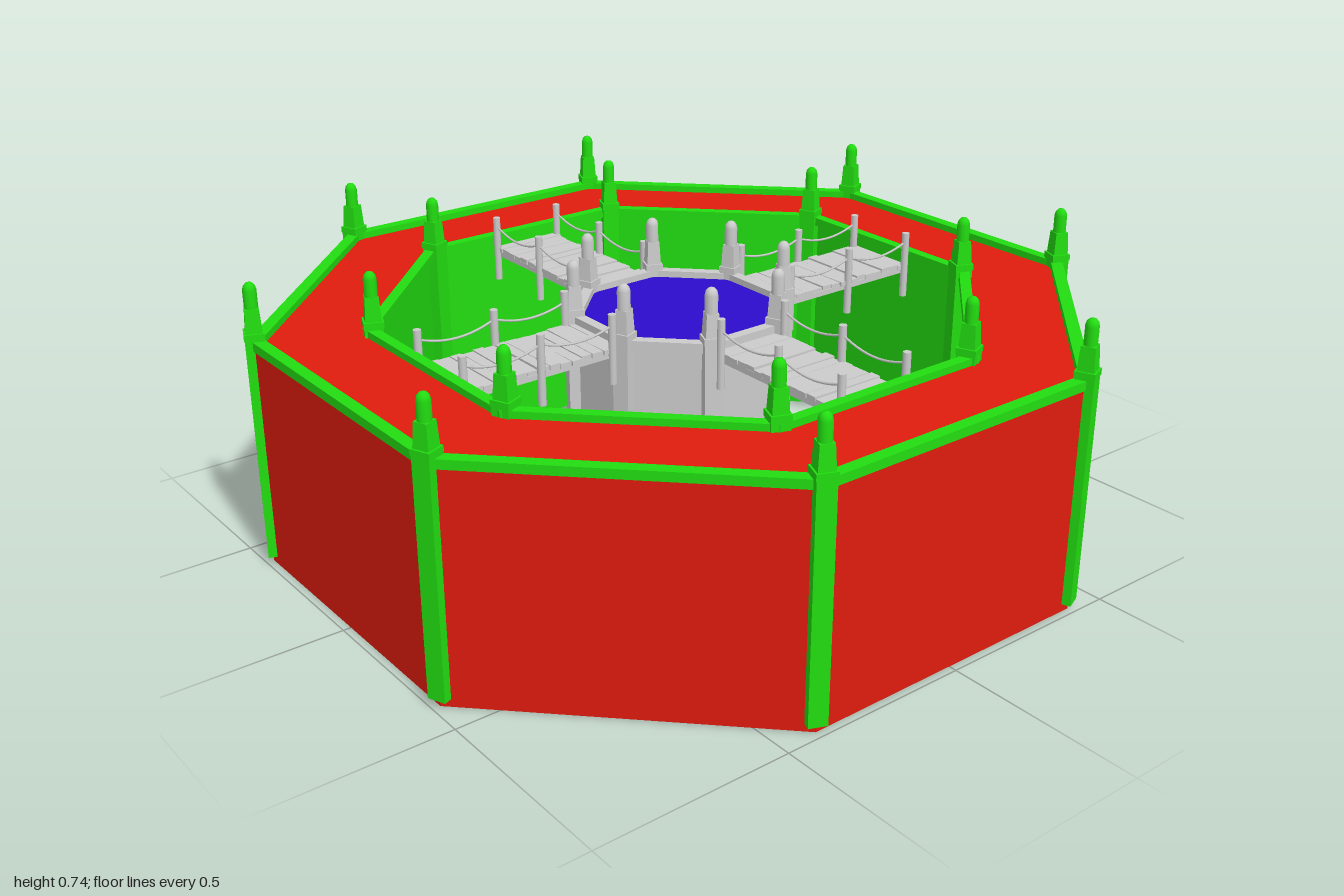
import * as THREE from 'three';

const material = (color, flat = true) =>
  new THREE.MeshStandardMaterial({ color, flatShading: flat, side: THREE.DoubleSide });
const RED = material(0xe01b0e), GREEN = material(0x22dd11), BLUE = material(0x2d0ccc), GREY = material(0xcccccc);
const GREEN_ROUND = material(0x22dd11, false), GREY_ROUND = material(0xcccccc, false);

const C = Math.cos(Math.PI / 8); // apothem of an octagon with radius 1

function add(parent, name, geometry, mat, x = 0, y = 0, z = 0) {
  const mesh = new THREE.Mesh(geometry, mat);
  mesh.name = name;
  mesh.position.set(x, y, z);
  parent.add(mesh);
  return mesh;
}

// Eight-sided surface from [apothem, height] pairs
function octagon(parent, name, profile, mat) {
  const points = profile.map(([a, y]) => new THREE.Vector2(a / C, y));
  return add(parent, name, new THREE.LatheGeometry(points, 8, Math.PI / 8), mat);
}

// Raised rim with a rectangular section
const rim = (parent, name, inner, outer, y0, y1, mat) =>
  octagon(parent, name, [[inner, y0], [outer, y0], [outer, y1], [inner, y1], [inner, y0]], mat);

// Square corner post with a stepped, round-topped finial
function cornerPost(top, width, mat, roundMat) {
  const post = new THREE.Group();
  post.name = 'cornerPost';
  const box = (name, w, y0, y1) =>
    add(post, name, new THREE.BoxGeometry(w, y1 - y0, w), mat, 0, (y0 + y1) / 2, 0);
  box('shaft', width, 0.02, top);
  box('finialBase', width * 1.08, top, top + 0.016);
  const neck = new THREE.CylinderGeometry(width * 0.52, width * 0.62, 0.06, 4, 1);
  neck.rotateY(Math.PI / 4);
  add(post, 'finialNeck', neck, mat, 0, top + 0.046, 0);
  const dome = [[0.0165, 0], [0.0165, 0.045], [0.014, 0.055], [0.008, 0.062], [0, 0.064]]
    .map(([r, y]) => new THREE.Vector2(r, y));
  add(post, 'finialTip', new THREE.LatheGeometry(dome, 12), roundMat, 0, top + 0.076, 0);
  return post;
}

function ringOfPosts(parent, name, radius, top, width, mat, roundMat) {
  const group = new THREE.Group();
  group.name = name;
  for (let i = 0; i < 8; i++) {
    const angle = Math.PI / 8 + i * Math.PI / 4;
    const post = cornerPost(top, width, mat, roundMat);
    post.position.set(Math.sin(angle) * radius, 0, Math.cos(angle) * radius);
    post.rotation.y = angle;
    group.add(post);
  }
  parent.add(group);
}

// Rope hanging between two points
function rope(parent, name, from, to, sag, radius) {
  const middle = from.clone().add(to).multiplyScalar(0.5);
  middle.y -= sag * 2;
  const curve = new THREE.QuadraticBezierCurve3(from, middle, to);
  add(parent, name, new THREE.TubeGeometry(curve, 12, radius, 6), GREY_ROUND);
}

// Plank bridge running along +z
function bridge(seed) {
  const group = new THREE.Group();
  group.name = 'bridge';
  const random = () => (seed = (seed * 16807) % 2147483647) / 2147483647;
  const start = 0.25, end = 0.71, deck = 0.555, count = 15;
  const pitch = (end - start) / count;

  for (let i = 0; i < count; i++) {
    const plank = add(group, 'plank',
      new THREE.BoxGeometry(0.192 + random() * 0.01, 0.012, pitch * (0.9 + random() * 0.1)), GREY,
      (random() - 0.5) * 0.006, deck + (random() - 0.5) * 0.005, start + (i + 0.5) * pitch);
    plank.rotation.y = (random() - 0.5) * 0.04;
  }

  for (const side of [-1, 1]) {
    const x = side * 0.1;
    const at = (y, z) => new THREE.Vector3(x, y, z);
    for (const z of [0.285, 0.49, 0.7])
      add(group, 'railPost', new THREE.CylinderGeometry(0.01, 0.01, 0.18, 10), GREY_ROUND, x, 0.56, z);
    // Beam under the planks and two sagging hand ropes
    add(group, 'beam', new THREE.BoxGeometry(0.012, 0.014, end - start), GREY,
      x * 0.9, deck - 0.012, (start + end) / 2);
    for (const [a, b] of [[0.275, 0.49], [0.49, 0.7]])
      rope(group, 'handRope', at(0.625, a), at(0.625, b), 0.022, 0.003);
  }
  return group;
}

export function createModel() {
  const model = new THREE.Group();
  model.name = 'octagonalFortress';

  // Outer ring
  const ring = new THREE.Group();
  ring.name = 'outerRing';
  model.add(ring);
  octagon(ring, 'outerWall', [[0.98, 0], [0.98, 0.575]], RED);
  octagon(ring, 'walkway', [[0.98, 0.58], [0.72, 0.58]], RED);
  octagon(ring, 'innerWall', [[0.725, 0.58], [0.725, 0]], GREEN);
  octagon(ring, 'underside', [[0.725, 0], [0.98, 0]], GREEN);
  rim(ring, 'outerRim', 0.953, 0.984, 0.575, 0.598, GREEN);
  rim(ring, 'innerRim', 0.707, 0.735, 0.575, 0.598, GREEN);
  ringOfPosts(ring, 'outerPosts', 1.05, 0.602, 0.046, GREEN, GREEN_ROUND);
  ringOfPosts(ring, 'innerPosts', 0.77, 0.602, 0.046, GREEN, GREEN_ROUND);

  // Central tower
  const tower = new THREE.Group();
  tower.name = 'centralTower';
  model.add(tower);
  octagon(tower, 'towerWall', [[0, 0], [0.255, 0], [0.255, 0.56]], GREY);
  octagon(tower, 'towerFloor', [[0.25, 0.563], [0, 0.563]], BLUE);
  rim(tower, 'towerRim', 0.237, 0.264, 0.555, 0.58, GREY);
  ringOfPosts(tower, 'towerPosts', 0.274, 0.582, 0.042, GREY, GREY_ROUND);

  // Four bridges
  for (let i = 0; i < 4; i++) {
    const span = bridge(101 + i * 977);
    span.rotation.y = i * Math.PI / 2;
    model.add(span);
  }
  return model;
}
